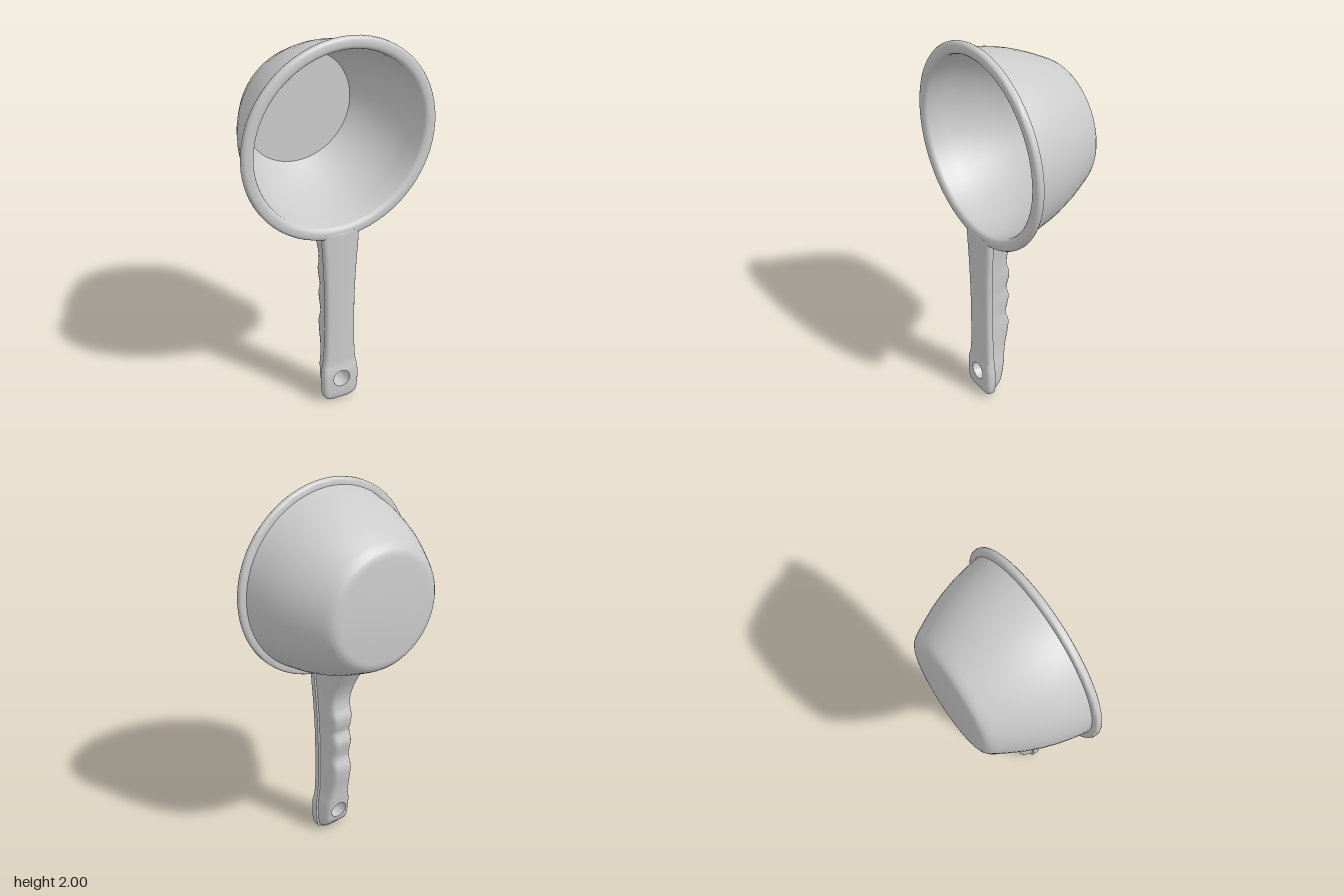
import * as THREE from 'three';
import { toCreasedNormals } from 'three/addons/utils/BufferGeometryUtils.js';

const material = new THREE.MeshStandardMaterial({ color: 0xcccccc });
const BOWL_Y = 1.49;
const HOLE = { y: 0.143, r: 0.047 };

// Smooth interpolation through [y, value] pairs
function profile(pts) {
  const slope = (i) => {
    const a = pts[Math.max(i - 1, 0)], b = pts[Math.min(i + 1, pts.length - 1)];
    return (b[1] - a[1]) / (b[0] - a[0]);
  };
  return (y) => {
    if (y <= pts[0][0]) return pts[0][1];
    if (y >= pts[pts.length - 1][0]) return pts[pts.length - 1][1];
    const i = pts.findIndex((p) => p[0] > y) - 1;
    const h = pts[i + 1][0] - pts[i][0], t = (y - pts[i][0]) / h;
    const t2 = t * t, t3 = t2 * t;
    return (2 * t3 - 3 * t2 + 1) * pts[i][1] + (t3 - 2 * t2 + t) * h * slope(i)
      + (3 * t2 - 2 * t3) * pts[i + 1][1] + (t3 - t2) * h * slope(i + 1);
  };
}

// Handle rules: flange half width, front face and finger-grip back
const flangeWidth = profile([[0.008, 0.04], [0.014, 0.063], [0.025, 0.08], [0.045, 0.092], [0.08, 0.098],
  [0.13, 0.1], [0.19, 0.098], [0.25, 0.089], [0.33, 0.084], [0.6, 0.081], [0.8, 0.088], [0.96, 0.098], [1.07, 0.101]]);
const frontZ = profile([[0.008, 0.232], [0.014, 0.241], [0.03, 0.25], [0.06, 0.255], [0.18, 0.255], [0.24, 0.246], [1.07, 0.244]]);
const backZ = profile([[0.03, 0.205], [0.04, 0.178], [0.055, 0.16], [0.08, 0.147], [0.12, 0.138], [0.2, 0.124], [0.3, 0.108],
  [0.38, 0.09], [0.44, 0.084], [0.5, 0.1], [0.56, 0.087], [0.6, 0.08], [0.66, 0.096], [0.7, 0.085], [0.75, 0.08],
  [0.8, 0.095], [0.86, 0.095], [0.93, 0.071], [1, 0.033], [1.07, -0.008]]);

// Half of the handle section at height y, from the front middle round to the back middle
function section(y) {
  const d = y - HOLE.y;
  const inner = Math.sqrt(Math.max(HOLE.r ** 2 - d * d, 0));
  const w = flangeWidth(y), f = frontZ(y);
  const lip = Math.min(0.207, f - 0.01);
  const b = Math.min(backZ(y), lip - 0.002);
  const depth = lip - b;
  const g = Math.max(w - 0.014, 0.02), e = Math.min(0.03, depth * 0.4);
  const pts = [
    [inner, f], [w - 0.02, f], [w - 0.008, f - 0.003], [w - 0.002, f - 0.01], [w, f - 0.018],
    [w, lip + 0.006], [w - 0.003, lip], [g, lip],
    [g - 0.01, b + e], [g - 0.015, b + e * 0.45], [g - 0.023, b + e * 0.12], [g - 0.033, b], [inner, b],
  ];
  // The top ends inside the bowl wall
  return pts.map(([x, z]) => {
    x = Math.max(x, inner);
    const limit = BOWL_Y + 0.005 - Math.sqrt((0.43 + 0.24 * z) ** 2 - x * x);
    return [x, Math.min(y, limit), z];
  });
}

function handleHalf(side) {
  const ys = [0.008, 0.014, 0.02, 0.026, 0.03, 0.035, 0.04, 0.046, 0.055, 0.07, 0.085];
  for (let i = 0; i <= 20; i++) ys.push(HOLE.y - HOLE.r * Math.cos(i * Math.PI / 20));
  for (let i = 0; i <= 76; i++) ys.push(0.2 + i * 0.87 / 76);
  const rows = ys.map(section);
  const pos = [];
  const quad = (a, b, c, d) => {
    const order = side > 0 ? [a, b, c, a, c, d] : [a, c, b, a, d, c];
    for (const p of order) pos.push(p[0] * side, p[1], p[2]);
  };
  const n = rows[0].length;
  for (let i = 0; i < rows.length - 1; i++) {
    const lo = rows[i], hi = rows[i + 1];
    for (let j = 0; j < n - 1; j++) quad(lo[j], lo[j + 1], hi[j + 1], hi[j]);
    // Wall of the hanging hole
    if (lo[0][0] > 1e-4 || hi[0][0] > 1e-4) quad(lo[n - 1], lo[0], hi[0], hi[n - 1]);
  }
  // Bottom end
  const end = rows[0], mid = [0, ys[0], 0.22];
  for (let j = 0; j < n - 1; j++) quad(mid, end[j + 1], end[j], mid);
  const geo = new THREE.BufferGeometry();
  geo.setAttribute('position', new THREE.Float32BufferAttribute(pos, 3));
  return toCreasedNormals(geo, 0.75);
}

function createBowl() {
  // [radius, depth] from the outer base, over the rim, to the inner floor
  const pts = [
    [0, -0.255], [0.265, -0.255], [0.285, -0.252], [0.303, -0.243], [0.318, -0.228], [0.333, -0.205],
    [0.365, -0.145], [0.395, -0.085], [0.425, -0.012], [0.448, 0.06], [0.465, 0.13], [0.478, 0.205],
    [0.502, 0.205], [0.509, 0.208], [0.513, 0.216], [0.513, 0.23], [0.508, 0.239], [0.498, 0.244],
    [0.474, 0.244], [0.463, 0.241], [0.455, 0.234], [0.451, 0.224],
    [0.446, 0.13], [0.43, 0.06], [0.407, -0.012], [0.378, -0.085], [0.347, -0.145], [0.315, -0.2],
    [0.296, -0.23], [0, -0.23],
  ].map(([r, z]) => new THREE.Vector2(r, z));
  const geo = new THREE.LatheGeometry(pts, 64);
  geo.rotateX(Math.PI / 2);
  const bowl = new THREE.Mesh(toCreasedNormals(geo, 0.8), material);
  bowl.name = 'bowl';
  bowl.position.y = BOWL_Y;
  return bowl;
}

export function createModel() {
  const group = new THREE.Group();
  group.name = 'scoop';
  group.add(createBowl());

  const handle = new THREE.Group();
  handle.name = 'handle';
  for (const [side, name] of [[1, 'handleLeft'], [-1, 'handleRight']]) {
    const half = new THREE.Mesh(handleHalf(side), material);
    half.name = name;
    handle.add(half);
  }
  group.add(handle);
  return group;
}
